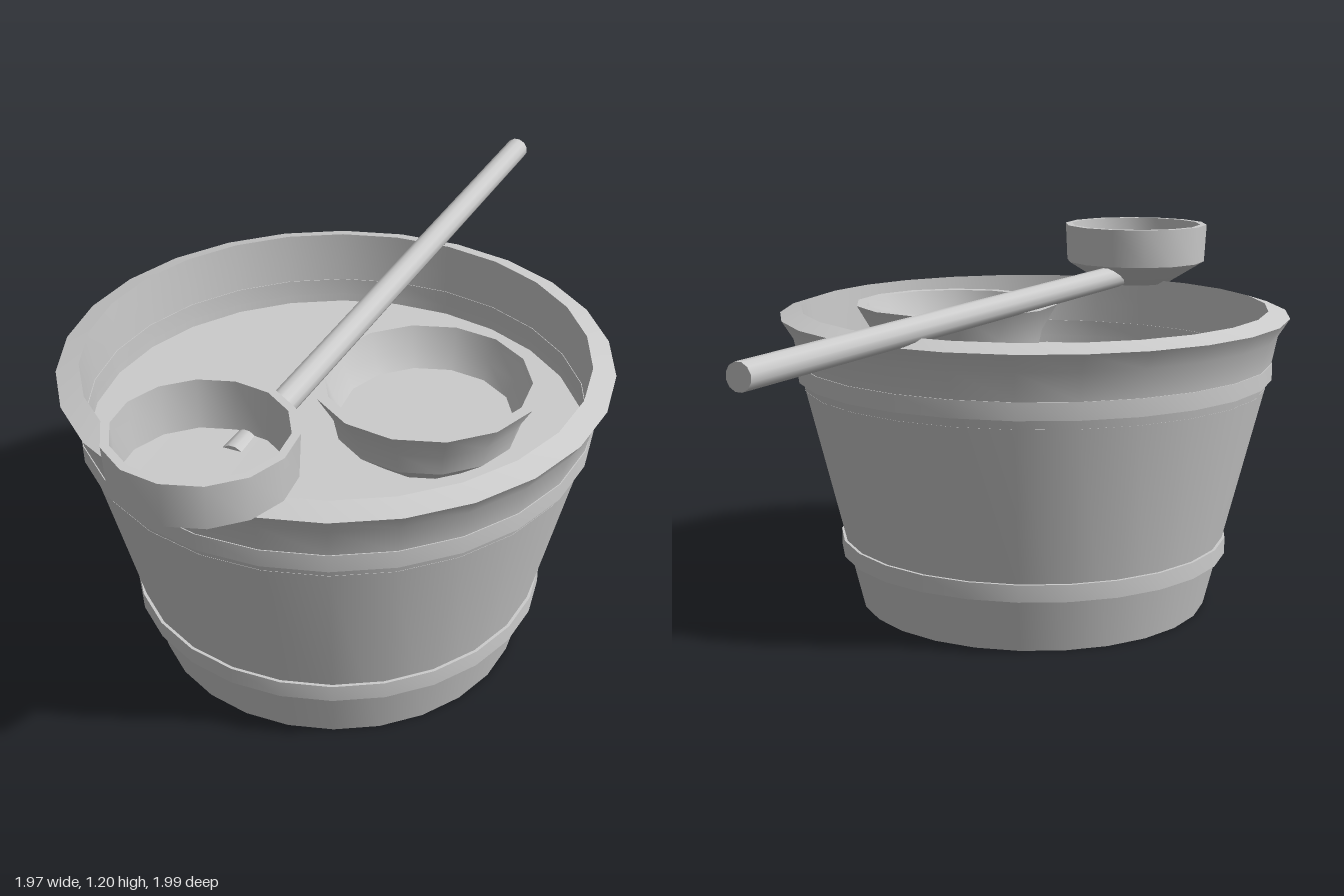
import * as THREE from 'three';
import { toCreasedNormals } from 'three/addons/utils/BufferGeometryUtils.js';

const material = new THREE.MeshStandardMaterial({ color: 0xcccccc, side: THREE.DoubleSide });

// Turned part from [radius, height] pairs, running up the outside and down the inside
function turned(name, profile, sides) {
  const points = profile.map(([r, y]) => new THREE.Vector2(r, y));
  const geometry = new THREE.LatheGeometry(points, sides, Math.PI / 2);
  const mesh = new THREE.Mesh(toCreasedNormals(geometry, 0.6), material);
  mesh.name = name;
  return mesh;
}

function hoop(name, bottom, top, outer, inner) {
  return turned(name, [[inner, bottom], [outer, bottom], [outer, top], [inner, top], [inner, bottom]], 26);
}

export function createModel() {
  const model = new THREE.Group();
  model.name = 'waterBucketWithLadle';

  // Bucket: thin tapered wall, open below, flared rim with a sloping lip
  const bucket = new THREE.Group();
  bucket.name = 'bucket';
  bucket.position.set(-0.15, 0, 0.16);
  bucket.add(turned('bucketWall', [
    [0.585, 0], [0.767, 0.745], [0.785, 0.83], [0.803, 0.92], [0.84, 0.978],
    [0.77, 1.0], [0.767, 0.9], [0.765, 0.745],
  ], 26));
  bucket.add(hoop('lowerHoop', 0.18, 0.235, 0.652, 0.63));
  bucket.add(hoop('upperHoop', 0.775, 0.83, 0.788, 0.764));

  // Water surface closing the bucket
  const water = new THREE.Mesh(new THREE.CircleGeometry(0.768, 26), material);
  water.name = 'waterSurface';
  water.rotation.x = -Math.PI / 2;
  water.position.y = 0.745;
  bucket.add(water);
  model.add(bucket);

  // Bowl floating in the water
  const bowl = turned('floatingBowl', [
    [0, 0.72], [0.15, 0.72], [0.28, 0.83], [0.295, 0.9], [0.345, 0.985],
    [0.31, 0.985], [0.285, 0.91], [0.26, 0.86], [0, 0.86],
  ], 14);
  bowl.position.set(0.06, 0, 0.378);
  model.add(bowl);

  // Ladle: cup and long straight handle resting across the rim
  const ladle = new THREE.Group();
  ladle.name = 'ladle';
  const cup = turned('ladleCup', [
    [0, 0.985], [0.125, 0.985], [0.255, 1.065], [0.262, 1.2],
    [0.238, 1.2], [0.23, 1.05], [0, 1.045],
  ], 14);
  cup.position.set(-0.715, 0, 0.728);
  ladle.add(cup);

  const start = new THREE.Vector3(-0.61, 1.02, 0.635);
  const end = new THREE.Vector3(0.956, 1.02, -0.97);
  const along = end.clone().sub(start);
  const handle = new THREE.Mesh(new THREE.CylinderGeometry(0.04, 0.04, along.length(), 12), material);
  handle.name = 'ladleHandle';
  handle.position.copy(start).lerp(end, 0.5);
  handle.quaternion.setFromUnitVectors(new THREE.Vector3(0, 1, 0), along.normalize());
  ladle.add(handle);
  model.add(ladle);

  return model;
}
